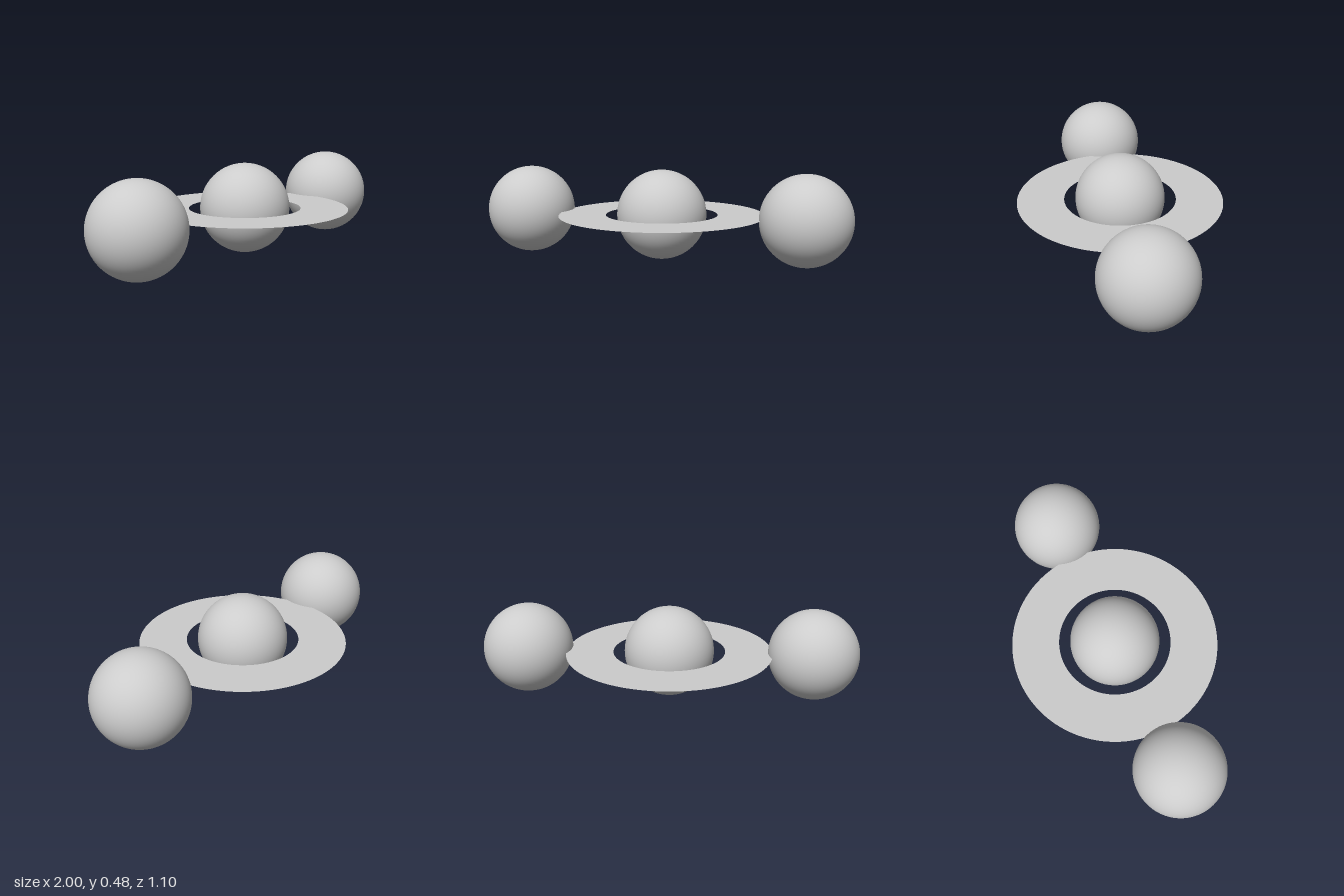
import * as THREE from 'three';

export function createModel() {
  const model = new THREE.Group();
  model.name = 'ringedPlanetWithMoons';

  const R = 1 / 4.2; // shared sphere radius
  const grey = new THREE.MeshStandardMaterial({ color: 0xcccccc });
  grey.name = 'grey';
  const ringGrey = grey.clone(); // same colour, visible from both sides
  ringGrey.name = 'ring grey';
  ringGrey.side = THREE.DoubleSide;

  // Planet in the middle, one equal ball on each side
  const ball = new THREE.SphereGeometry(R, 64, 48);
  const balls = [['planet', 0], ['leftMoon', 3.2 * R], ['rightMoon', -3.2 * R]];
  for (const [name, x] of balls) {
    const mesh = new THREE.Mesh(ball, grey);
    mesh.name = name;
    mesh.position.set(x, R, 0);
    model.add(mesh);
  }

  // Flat ring around the planet's equator
  const ringGeometry = new THREE.RingGeometry(1.25 * R, 2.3 * R, 96);
  ringGeometry.rotateX(-Math.PI / 2);
  const ring = new THREE.Mesh(ringGeometry, ringGrey);
  ring.name = 'ring';
  ring.position.y = R;
  model.add(ring);

  return model;
}
